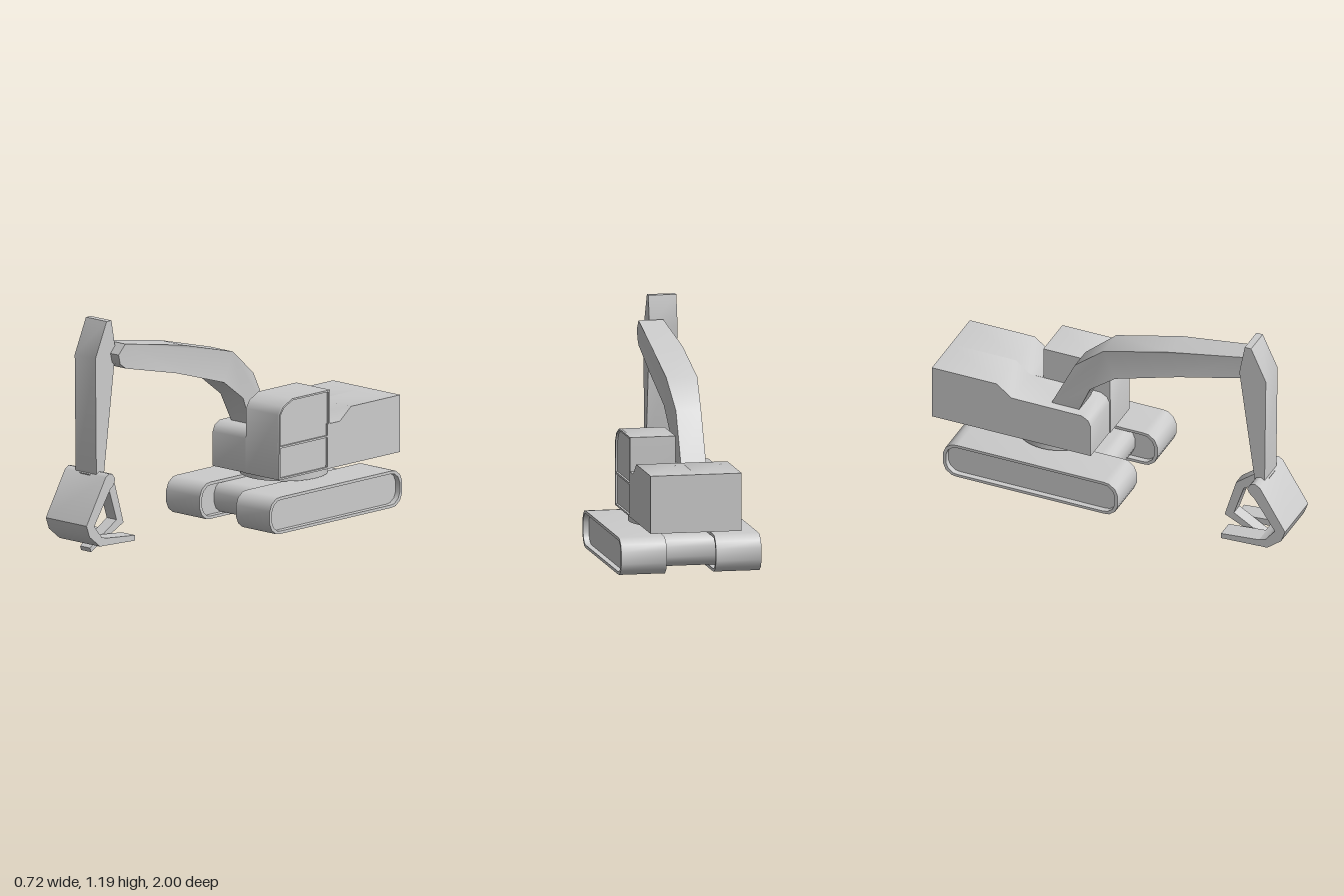
import * as THREE from 'three';
import { toCreasedNormals } from 'three/addons/utils/BufferGeometryUtils.js';

const material = new THREE.MeshStandardMaterial({ color: 0xcccccc });

const points = (list) => list.map(([z, y]) => new THREE.Vector2(z, y));

// Side profile of [z, y] points, extruded across x0..x1.
function profile(list, x0, x1, holes = []) {
  const shape = new THREE.Shape(points(list));
  holes.forEach((h) => shape.holes.push(new THREE.Path(points(h))));
  const geo = new THREE.ExtrudeGeometry(shape, { depth: x1 - x0, bevelEnabled: false });
  geo.rotateY(-Math.PI / 2).translate(x1, 0, 0);
  return geo;
}

// Long outline with rounded ends, used for the tracks and the chassis.
function trackOutline(zBack, zFront, yLow, yHigh) {
  const h = yHigh - yLow;
  const corner = [[0, 0.34], [0.08, 0.15], [0.25, 0.02], [0.42, 0]];
  const low = corner.map(([a, b]) => [a * h, b * h]);
  const front = low.map(([a, b]) => [zFront - a, yLow + b]);
  const back = low.map(([a, b]) => [zBack + a, yLow + b]);
  const flip = (list) => list.map(([z, y]) => [z, yLow + yHigh - y]);
  return [...back, ...front.reverse(), ...flip(front).reverse(), ...flip(back).reverse()];
}

export function createModel() {
  const model = new THREE.Group();
  const add = (name, geo, parent = model, crease = 0.85) => {
    const mesh = new THREE.Mesh(toCreasedNormals(geo, crease), material);
    mesh.name = name;
    parent.add(mesh);
    return mesh;
  };

  // Tracks: a belt ring with a recessed plate on both sides
  const belt = trackOutline(-0.882, 0.087, 0.035, 0.226);
  const opening = trackOutline(-0.865, 0.07, 0.05, 0.211);
  for (const side of [-1, 1]) {
    const track = new THREE.Group();
    track.name = side > 0 ? 'leftTrack' : 'rightTrack';
    const [x0, x1] = side > 0 ? [0.127, 0.362] : [-0.362, -0.127];
    add('trackBelt', profile(belt, x0, x1, [opening]), track);
    add('trackPlate', profile(opening, x0 + 0.03, x1 - 0.03), track);
    model.add(track);
  }
  add('chassis', profile(trackOutline(-0.745, -0.05, 0.05, 0.211), -0.16, 0.16));

  // Slewing ring
  const pivot = new THREE.CylinderGeometry(0.112, 0.112, 0.05, 32);
  add('turntablePivot', pivot.translate(0, 0.22, -0.395));
  const ring = new THREE.CylinderGeometry(0.222, 0.222, 0.045, 40);
  add('turntableRing', ring.translate(0, 0.2565, -0.395));

  // Upper body: engine housing, with the front deck on the right half
  const rear = [[-0.56, 0.505], [-0.64, 0.568], [-1, 0.568], [-1, 0.272]];
  add('rightBody', profile(
    [[-0.12, 0.272], [-0.12, 0.45], [-0.135, 0.483], [-0.17, 0.503], ...rear], -0.235, 0));
  add('engineHousing', profile([[-0.47, 0.272], [-0.47, 0.505], ...rear], 0, 0.235));

  // Cab with a side frame around two recessed panels
  const cabOutline = [[-0.476, 0.272], [-0.115, 0.272], [-0.118, 0.608],
    [-0.145, 0.648], [-0.21, 0.68], [-0.487, 0.68], [-0.487, 0.43]];
  const upperPanel = [[-0.478, 0.445], [-0.125, 0.445], [-0.127, 0.606],
    [-0.152, 0.642], [-0.213, 0.671], [-0.478, 0.671]];
  const lowerPanel = [[-0.467, 0.281], [-0.124, 0.281], [-0.125, 0.435], [-0.476, 0.435]];
  const cab = new THREE.Group();
  cab.name = 'cab';
  add('cabShell', profile(cabOutline, 0, 0.224), cab);
  add('cabSideFrame', profile(cabOutline, 0.224, 0.235, [upperPanel, lowerPanel]), cab);
  model.add(cab);

  // Boom: bent arm, wider in the middle than at its ends
  const boom = profile([[-0.37, 0.48], [-0.215, 0.48], [-0.14, 0.65], [0, 0.755],
    [0.35, 0.862], [0.7, 0.942], [0.74, 0.97], [0.752, 1.02], [0.705, 1.07],
    [0.3, 1.0], [-0.065, 0.905], [-0.23, 0.765]], -1, 1);
  const pos = boom.attributes.position;
  for (let i = 0; i < pos.count; i++) {
    const z = pos.getZ(i);
    const half = z > 0.36 ? 0.08 - 0.018 * (z - 0.36) / 0.39 : z < -0.2 ? 0.065 : 0.08;
    pos.setX(i, -0.12 + pos.getX(i) * half);
  }
  add('boom', boom);

  // Stick
  add('stick', profile([[0.8, 0.4], [0.855, 0.4], [0.862, 1.01], [0.78, 1.19],
    [0.745, 1.19], [0.715, 1.03]], -0.26, -0.115));

  // Grab bucket: curved shell that splits into two prongs
  const bucket = new THREE.Group();
  bucket.name = 'grabBucket';
  add('bucketShell', profile([[0.79, 0.385], [0.8, 0.36], [0.828, 0.335], [0.943, 0.165],
    [0.89, 0.1], [0.85, 0.088], [0.85, 0.053], [0.9, 0.053], [0.978, 0.115], [1, 0.175],
    [0.86, 0.405], [0.835, 0.42], [0.81, 0.415]], -0.33, -0.045), bucket);
  for (const x of [-0.33, -0.14]) {
    add('bucketProng', profile([[0.645, 0.042], [0.86, 0.052], [0.86, 0.09],
      [0.645, 0.07]], x, x + 0.095), bucket);
  }
  model.add(bucket);

  // Thumb closing between the prongs
  add('grabThumb', profile([[0.855, 0.375], [0.865, 0.405], [0.8, 0.418], [0.68, 0.325],
    [0.617, 0.115], [0.855, 0], [0.862, 0.022], [0.668, 0.137], [0.722, 0.3],
    [0.8, 0.345]], -0.222, -0.153));

  return model;
}
